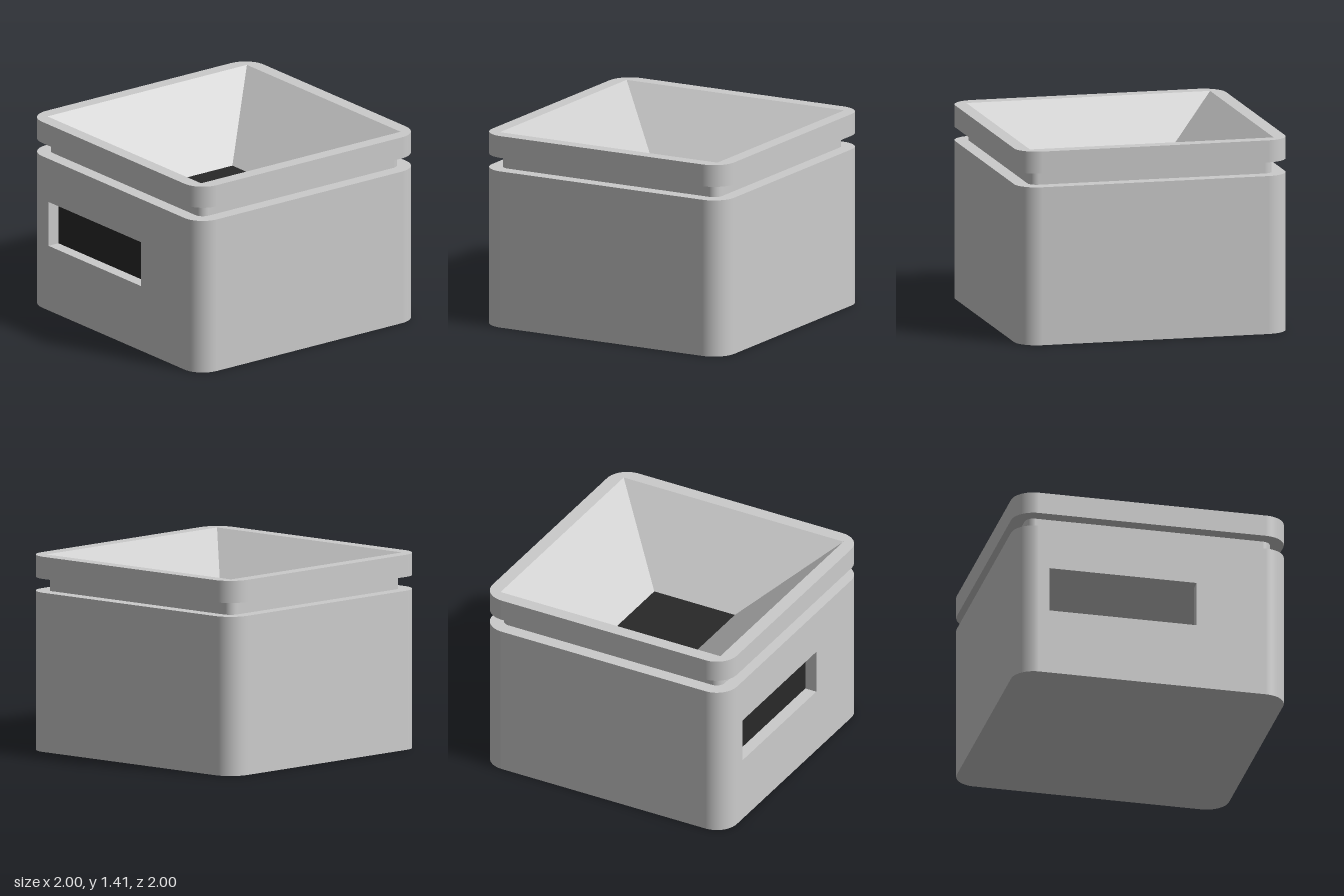
import * as THREE from 'three';
import { mergeGeometries } from 'three/addons/utils/BufferGeometryUtils.js';

const SEGMENTS = 14;
const FUNNEL = { top: 0.9, bottom: 0.33, topY: 1.41, bottomY: 0.93 };
const WINDOW = { x0: -0.757, x1: 0.325, y0: 0.49, y1: 0.823, backZ: 0.91 };

// Rounded square, counter-clockwise; the closing segment is the front side.
function roundedSquare(half, radius) {
  const points = [];
  [[1, -1], [1, 1], [-1, 1], [-1, -1]].forEach(([sx, sy], corner) => {
    for (let i = 0; i <= SEGMENTS; i++) {
      const a = (corner - 1 + i / SEGMENTS) * Math.PI / 2;
      const nx = Math.cos(a), ny = Math.sin(a);
      points.push({ x: sx * (half - radius) + radius * nx, y: sy * (half - radius) + radius * ny, nx, ny });
    }
  });
  return points;
}

function rectangle(x0, y0, x1, y1) {
  return [[x0, y0], [x1, y0], [x1, y1], [x0, y1]].map(([x, y]) => new THREE.Vector2(x, y));
}

const square = (half) => rectangle(-half, -half, half, half);

// Upright strip following an outline; smooth where the outline has normals.
function wall(outline, y0, y1, closed = true) {
  const position = [], normal = [];
  const count = outline.length - (closed ? 0 : 1);
  for (let i = 0; i < count; i++) {
    const a = outline[i], b = outline[(i + 1) % outline.length];
    for (const [p, y] of [[a, y0], [b, y0], [b, y1], [a, y0], [b, y1], [a, y1]]) {
      position.push(p.x, y, -p.y);
      normal.push(p.nx ?? 0, 0, -(p.ny ?? 0));
    }
  }
  const geometry = new THREE.BufferGeometry();
  geometry.setAttribute('position', new THREE.Float32BufferAttribute(position, 3));
  geometry.setAttribute('normal', new THREE.Float32BufferAttribute(normal, 3));
  if (outline[0].nx === undefined) geometry.computeVertexNormals();
  return geometry;
}

// Flat sheet in the xy plane, facing +z, with an optional hole.
function sheet(outline, hole) {
  const shape = new THREE.Shape(outline.map((p) => new THREE.Vector2(p.x, p.y)));
  if (hole) shape.holes.push(new THREE.Path(hole));
  const geometry = new THREE.ShapeGeometry(shape).toNonIndexed();
  geometry.deleteAttribute('uv');
  return geometry;
}

const faceUp = (outline, y, hole) => sheet(outline, hole).rotateX(-Math.PI / 2).translate(0, y, 0);
const faceDown = (outline, y, hole) => sheet(outline, hole).rotateX(Math.PI / 2).translate(0, y, 0);

export function createModel() {
  const group = new THREE.Group();
  const grey = new THREE.MeshStandardMaterial({ color: 0xcccccc, side: THREE.DoubleSide });
  const dark = new THREE.MeshStandardMaterial({ color: 0x282828 });

  const add = (name, geometry, material = grey) => {
    const mesh = new THREE.Mesh(geometry, material);
    mesh.name = name;
    group.add(mesh);
    return mesh;
  };

  const outer = roundedSquare(1, 0.165);
  const inner = roundedSquare(0.9, 0.065);

  // Main body with a window recess in its front
  const opening = rectangle(WINDOW.x0, WINDOW.y0, WINDOW.x1, WINDOW.y1);
  add('body', mergeGeometries([
    wall(outer, 0, 1.15, false),
    sheet(rectangle(-0.835, 0, 0.835, 1.15), opening).translate(0, 0, 1),
    wall([...opening].reverse(), WINDOW.backZ, 1).rotateX(Math.PI / 2),
    faceDown(outer, 0),
    faceUp(outer, 1.15, square(0.8)),
  ]));

  // Dark panel at the back of the window
  const width = WINDOW.x1 - WINDOW.x0, height = WINDOW.y1 - WINDOW.y0;
  add('windowPanel', new THREE.BoxGeometry(width, height, 0.02), dark)
    .position.set(WINDOW.x0 + width / 2, WINDOW.y0 + height / 2, WINDOW.backZ - 0.01);

  // Narrow neck between body and rim
  add('neck', wall(inner, 1.15, 1.25));

  // Rim around the funnel mouth
  add('rim', mergeGeometries([
    wall(outer, 1.25, FUNNEL.topY),
    faceDown(outer, 1.25, square(0.8)),
    faceUp(outer, FUNNEL.topY, square(FUNNEL.top)),
  ]));

  // Four sloping funnel walls
  const funnelHeight = FUNNEL.topY - FUNNEL.bottomY;
  const funnelMaterial = grey.clone();
  funnelMaterial.flatShading = true;
  add('funnel', new THREE.CylinderGeometry(FUNNEL.top * Math.SQRT2, FUNNEL.bottom * Math.SQRT2,
    funnelHeight, 4, 1, true).rotateY(Math.PI / 4), funnelMaterial)
    .position.y = FUNNEL.bottomY + funnelHeight / 2;

  // Dark floor closing the funnel
  add('funnelFloor', new THREE.BoxGeometry(FUNNEL.bottom * 2, 0.02, FUNNEL.bottom * 2), dark)
    .position.y = FUNNEL.bottomY - 0.01;

  return group;
}
